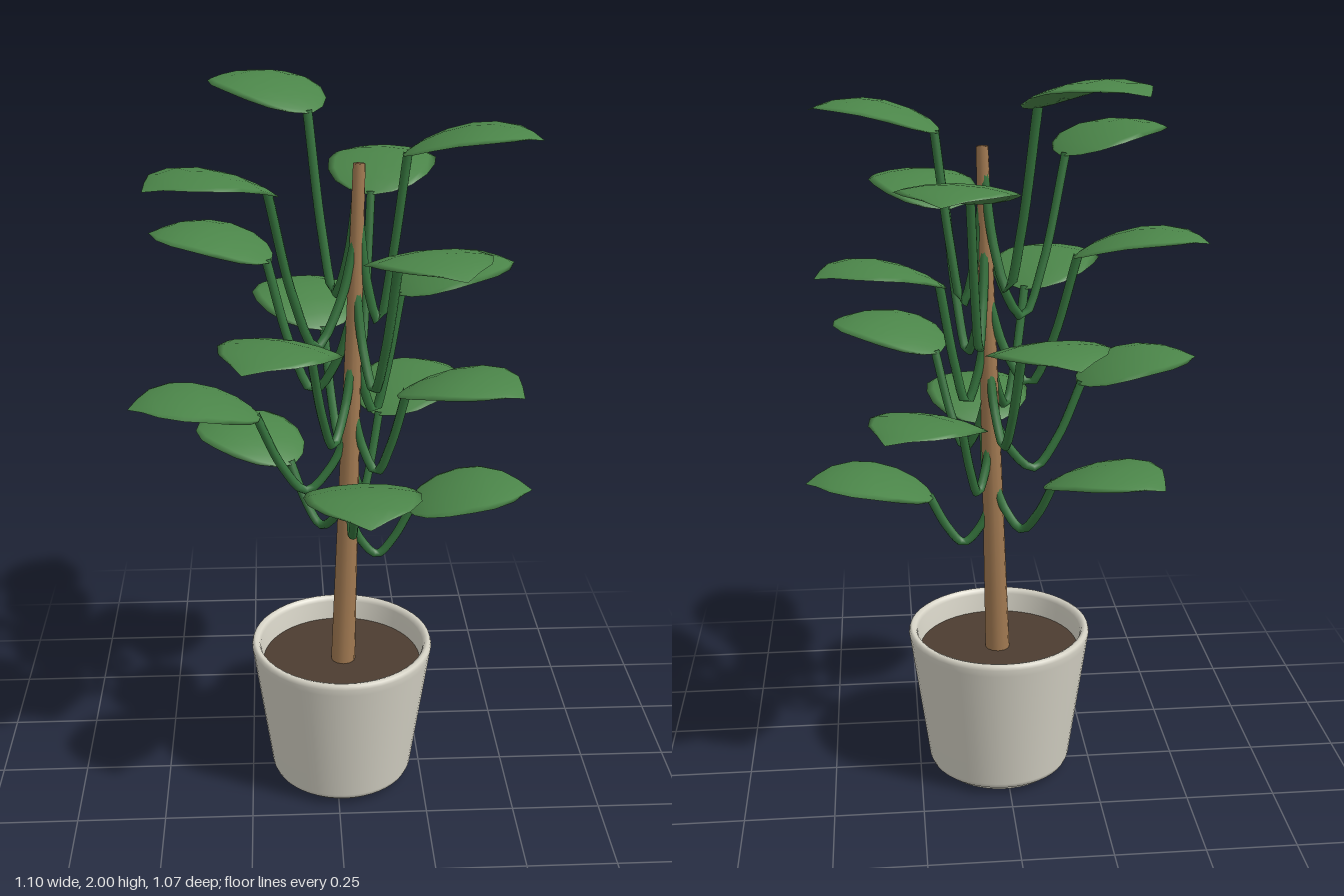
import * as THREE from 'three';

const material = (name, color) => {
  const m = new THREE.MeshStandardMaterial({ color });
  m.name = name;
  return m;
};
const V = (x, y, z) => new THREE.Vector3(x, y, z);
const profile = (pts) => pts.map(([x, y]) => new THREE.Vector2(x, y));

// Leaf tips from the lowest to the highest: x, y, z
const TIPS = [
  [0.55, 0.90, 0.0], [-0.38, 0.985, -0.36], [0.06, 1.05, 0.53], [0.33, 1.14, -0.39],
  [-0.55, 1.205, 0.11], [0.46, 1.29, 0.29], [-0.13, 1.36, -0.54], [-0.24, 1.44, 0.50],
  [0.495, 1.51, -0.17], [-0.5, 1.59, -0.21], [0.27, 1.665, 0.53], [0.19, 1.745, -0.53],
  [-0.465, 1.82, 0.29], [0.505, 1.895, 0.11], [-0.30, 1.97, -0.40],
];
// Half width along the leaf: position, half width
const OUTLINE = [[0, 0.012], [0.04, 0.06], [0.13, 0.105], [0.28, 0.138], [0.46, 0.15],
  [0.63, 0.143], [0.8, 0.105], [0.91, 0.05], [1, 0.001]];
const LEAF_LENGTH = 0.35;

const STEM_BASE = V(0.02, 0.36, 0.012);
const STEM_TOP = V(0.06, 1.815, -0.022);
const stemAt = (y) => STEM_BASE.clone().lerp(STEM_TOP, (y - STEM_BASE.y) / (STEM_TOP.y - STEM_BASE.y));

// Thin closed shell, arched along +z and drooping slightly to its sides
function leafGeometry() {
  const ring = 12, pos = [], idx = [];
  for (const [t, w] of OUTLINE) {
    for (let j = 0; j < ring; j++) {
      const a = (j / ring) * Math.PI * 2;
      const x = w * Math.cos(a);
      const droop = 0.018 * (x / 0.15) ** 2;
      const thick = 0.005 * Math.sin(a) * Math.min(1, w / 0.1);
      pos.push(x, 0.25 * t - 0.2 * t * t - droop + thick, t * LEAF_LENGTH);
    }
  }
  for (let i = 0; i < OUTLINE.length - 1; i++) {
    for (let j = 0; j < ring; j++) {
      const a = i * ring + j, b = i * ring + (j + 1) % ring;
      idx.push(a, b, a + ring, b, b + ring, a + ring);
    }
  }
  const g = new THREE.BufferGeometry();
  g.setAttribute('position', new THREE.Float32BufferAttribute(pos, 3));
  g.setIndex(idx);
  g.computeVertexNormals();
  return g;
}

export function createModel() {
  const model = new THREE.Group();
  model.name = 'pottedPlant';
  const potMat = material('glazed pot', 0xd6d3c6);
  const soilMat = material('soil', 0x4c3d31);
  const stemMat = material('woody stem', 0xa27a52);
  const stalkMat = material('leaf stalk green', 0x34723c);
  const leafMat = material('leaf green', 0x4b8549);
  const add = (name, geo, mat, parent = model) => {
    const mesh = new THREE.Mesh(geo, mat);
    mesh.name = name;
    parent.add(mesh);
    return mesh;
  };

  // Pot with recessed foot, rounded rim and inner wall
  const pot = add('pot', new THREE.LatheGeometry(profile([
    [0, 0], [0.17, 0], [0.176, 0.004], [0.176, 0.02], [0.185, 0.02], [0.2, 0.024], [0.206, 0.038],
    [0.257, 0.41], [0.26, 0.43], [0.257, 0.441], [0.25, 0.445], [0.24, 0.441], [0.235, 0.43], [0.226, 0.36],
  ]), 48), potMat);
  pot.position.set(0.016, 0, 0.012);
  const soil = add('soil', new THREE.CircleGeometry(0.23, 48), soilMat);
  soil.rotation.x = -Math.PI / 2;
  soil.position.set(0.016, 0.375, 0.012);

  // Leaning, tapering stem
  const lean = STEM_TOP.clone().sub(STEM_BASE);
  const stem = add('stem', new THREE.LatheGeometry(profile([
    [0, 0], [0.035, 0], [0.016, lean.length()], [0, lean.length()],
  ]), 12), stemMat);
  stem.position.copy(STEM_BASE);
  stem.quaternion.setFromUnitVectors(V(0, 1, 0), lean.normalize());

  // Leaves, each on a stalk that dips away from the stem and rises again
  const leafGeo = leafGeometry();
  TIPS.forEach(([x, y, z], i) => {
    const group = new THREE.Group();
    group.name = 'leafWithStalk' + (i + 1);
    model.add(group);
    const f = i / (TIPS.length - 1);
    const start = stemAt(0.84 + 0.93 * f);
    const dir = V(x - start.x, 0, z - start.z).normalize();
    const base = V(x, y - 0.05, z).addScaledVector(dir, -LEAF_LENGTH);

    const dip = start.clone().lerp(base, 0.5);
    dip.y = base.y - (0.14 + 0.33 * f);
    const inner = start.clone().lerp(base, 0.22);
    inner.y = dip.y + (start.y - dip.y) * 0.35;
    const outer = start.clone().lerp(base, 0.76);
    outer.y = dip.y + (base.y - dip.y) * 0.33;
    const end = base.clone().addScaledVector(dir, 0.012);
    end.y += 0.006;
    const path = new THREE.CatmullRomCurve3([start, inner, dip, outer, end]);
    add('stalk', new THREE.TubeGeometry(path, 20, 0.0125, 8), stalkMat, group);

    const leaf = add('leaf', leafGeo, leafMat, group);
    leaf.position.copy(base);
    leaf.rotation.y = Math.atan2(dir.x, dir.z);
  });

  return model;
}
